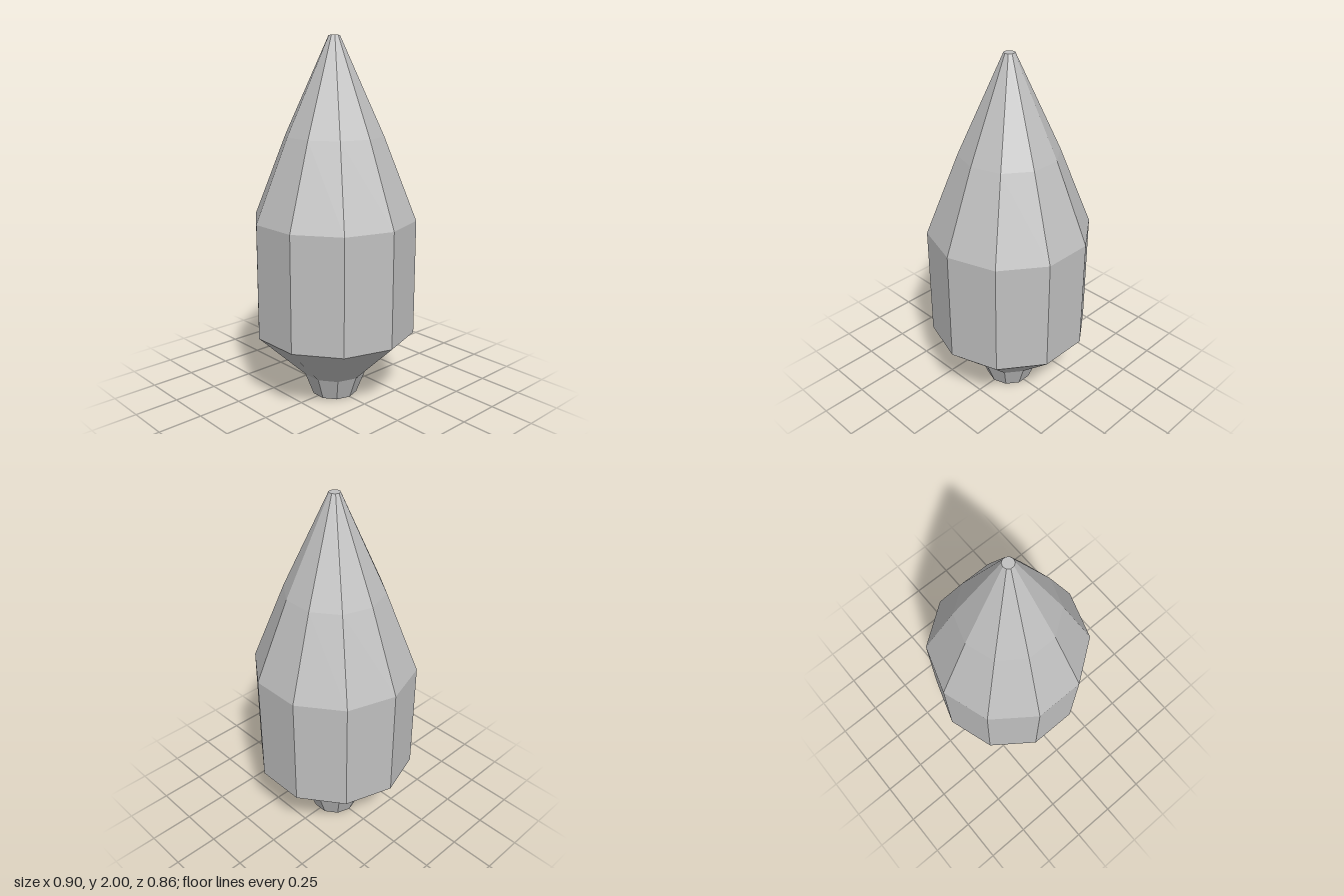
import * as THREE from 'three';

const SIDES = 10;

export function createModel() {
  const group = new THREE.Group();
  group.name = 'facetedSpindle';

  const grey = new THREE.MeshStandardMaterial({ color: 0xc0c0c0, flatShading: true });
  grey.name = 'grey';

  // Ten-sided section from [radius, height] pairs, bottom to top,
  // turned so that a corner lies on the x axis and a flat faces the front
  const addSection = (name, profile) => {
    const points = profile.map(([r, y]) => new THREE.Vector2(r, y));
    const geometry = new THREE.LatheGeometry(points, SIDES, Math.PI / SIDES);
    const mesh = new THREE.Mesh(geometry, grey);
    mesh.name = name;
    group.add(mesh);
  };

  // Closed foot
  addSection('foot', [[0, 0], [0.13, 0], [0.18, 0.13]]);
  // Flaring underside
  addSection('lowerTaper', [[0.18, 0.13], [0.45, 0.39]]);
  // Straight body
  addSection('body', [[0.45, 0.39], [0.45, 1.03]]);
  // Slightly bulged nose with a small flat tip
  addSection('nose', [[0.45, 1.03], [0.27, 1.48], [0.03, 2], [0, 2]]);

  return group;
}
